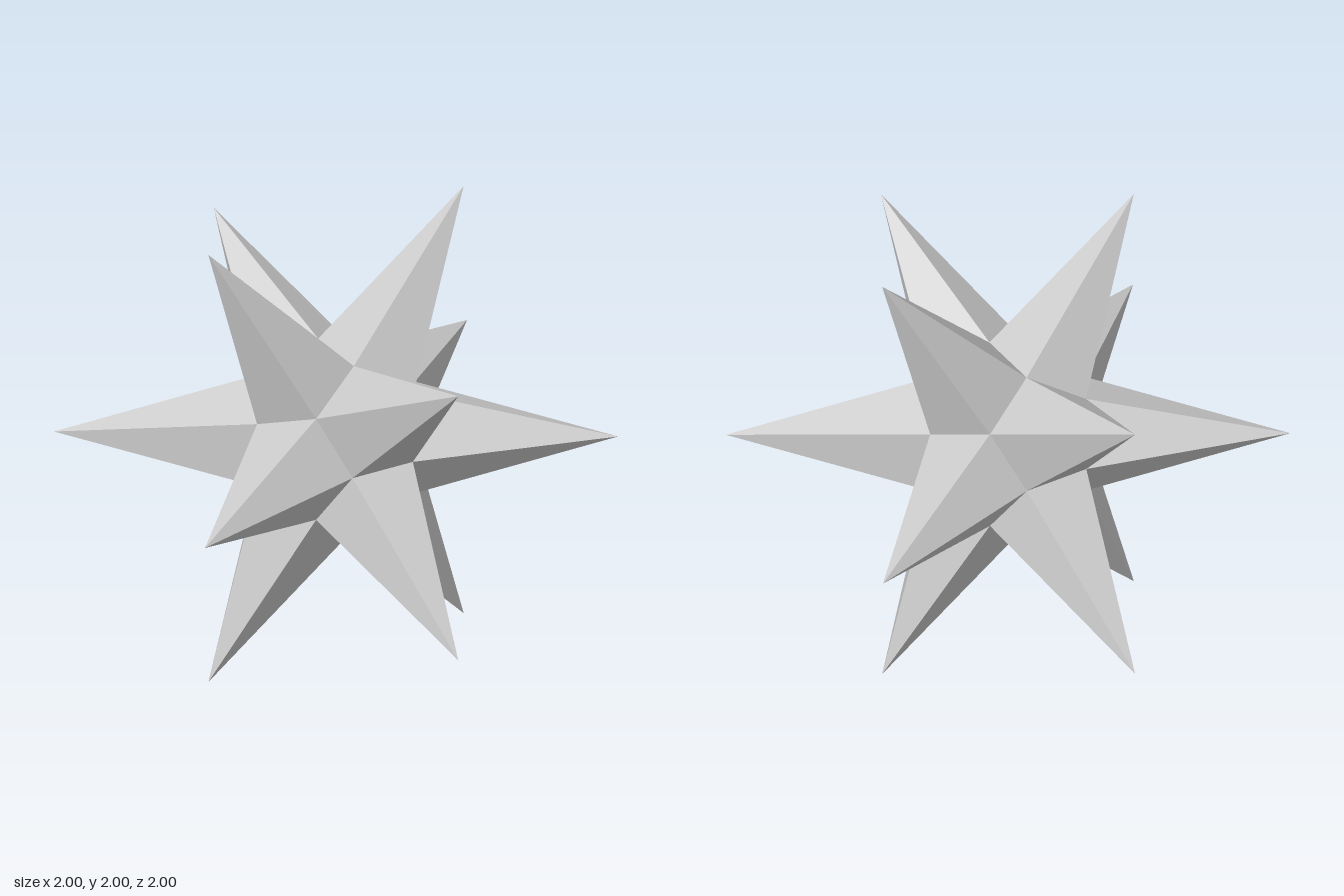
import * as THREE from 'three';

// Star polyhedron: twelve five-sided spikes standing on the faces of a dodecahedron
export function createModel() {
  const group = new THREE.Group();
  group.name = 'star';
  const material = new THREE.MeshStandardMaterial({ color: 0xcccccc, flatShading: true });

  const g = (Math.sqrt(5) - 1) / 2;              // golden ratio, 0.618
  const tipDistance = Math.hypot(1, g);
  const corner = Math.sqrt(3) * g ** 3;          // core centre to core corner
  const base = g ** 2 / tipDistance;             // core centre to core face
  const radius = Math.sqrt(corner ** 2 - base ** 2);

  // Open pyramid with its base in the core's face and its first corner towards +z
  const height = tipDistance - base;
  const spikeGeometry = new THREE.ConeGeometry(radius, height, 5, 1, true);
  spikeGeometry.translate(0, base + height / 2, 0);

  // Four spikes lie in each coordinate plane: long axis first, short axis second
  for (const [long, short] of [['y', 'x'], ['x', 'z'], ['z', 'y']]) {
    for (const a of [-1, 1]) {
      for (const b of [-1, 1]) {
        const up = new THREE.Vector3();
        up[long] = a;
        up[short] = b * g;
        const out = new THREE.Vector3();
        out[long] = -a * g;
        out[short] = b;
        up.normalize();
        out.normalize();
        const side = new THREE.Vector3().crossVectors(up, out);
        const spike = new THREE.Mesh(spikeGeometry, material);
        spike.name = 'spike';
        spike.quaternion.setFromRotationMatrix(new THREE.Matrix4().makeBasis(side, up, out));
        spike.position.y = 1;
        group.add(spike);
      }
    }
  }
  return group;
}
